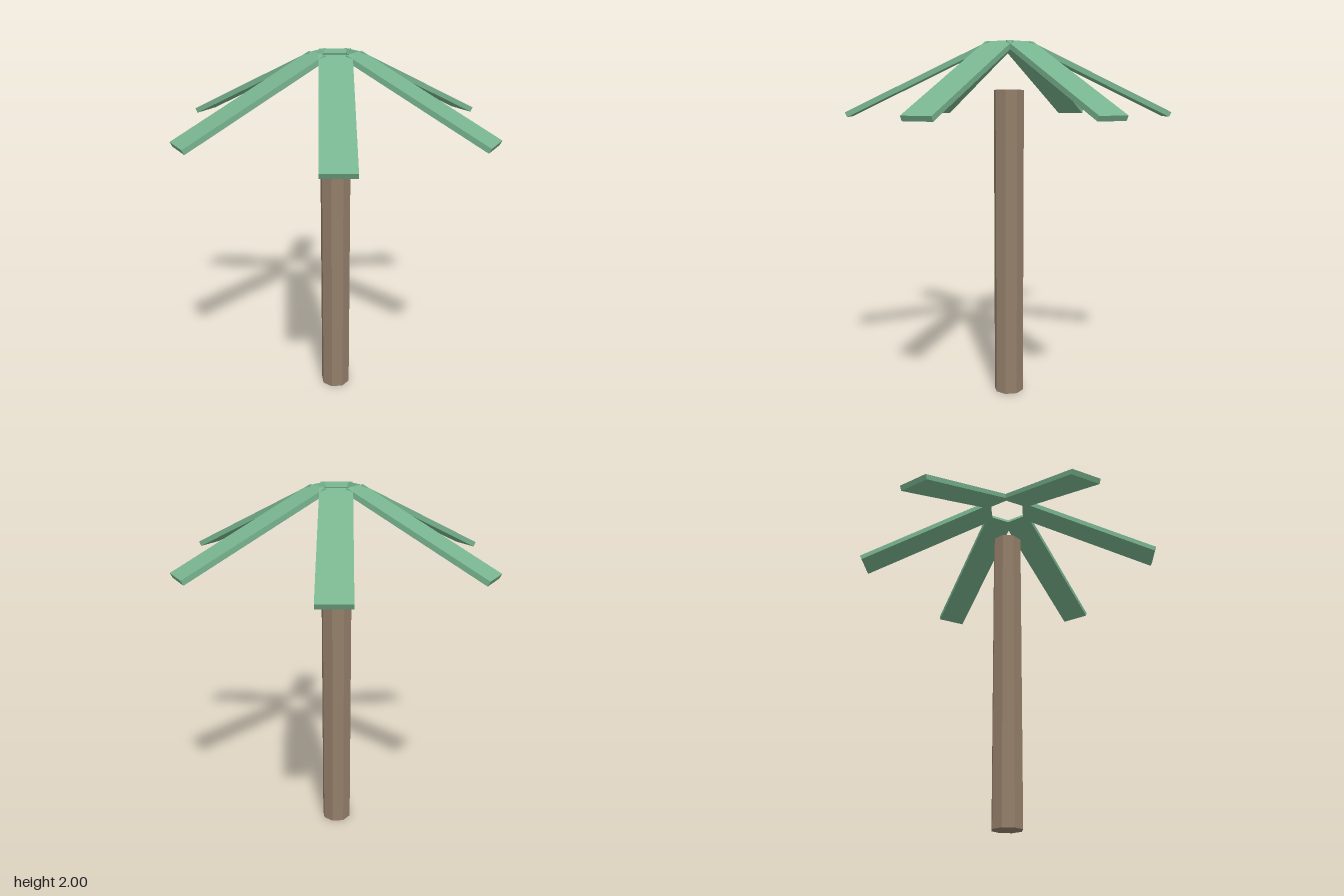
import * as THREE from 'three';

export function createModel() {
  const group = new THREE.Group();
  group.name = 'palmTree';

  const bark = new THREE.MeshStandardMaterial({ color: 0x947f6a });
  bark.name = 'barkBrown';
  const leaf = new THREE.MeshStandardMaterial({ color: 0x78b48f });
  leaf.name = 'leafGreen';
  bark.flatShading = true;

  // Eight-sided trunk
  const trunkHeight = 1.745;
  const trunk = new THREE.Mesh(new THREE.CylinderGeometry(0.085, 0.085, trunkHeight, 8), bark);
  trunk.name = 'trunk';
  trunk.position.y = trunkHeight / 2;
  group.add(trunk);

  // Six drooping fronds, each a tilted plank around an open crown
  const frondGeometry = new THREE.BoxGeometry(0.862, 0.028, 0.17);
  frondGeometry.rotateZ(-0.45);
  frondGeometry.translate(0.491, 1.8, 0);
  const crown = new THREE.Group();
  crown.name = 'crown';
  for (let i = 0; i < 6; i++) {
    const frond = new THREE.Mesh(frondGeometry, leaf);
    frond.name = `frond${i + 1}`;
    frond.rotation.y = (i * Math.PI) / 3;
    crown.add(frond);
  }
  group.add(crown);

  return group;
}
